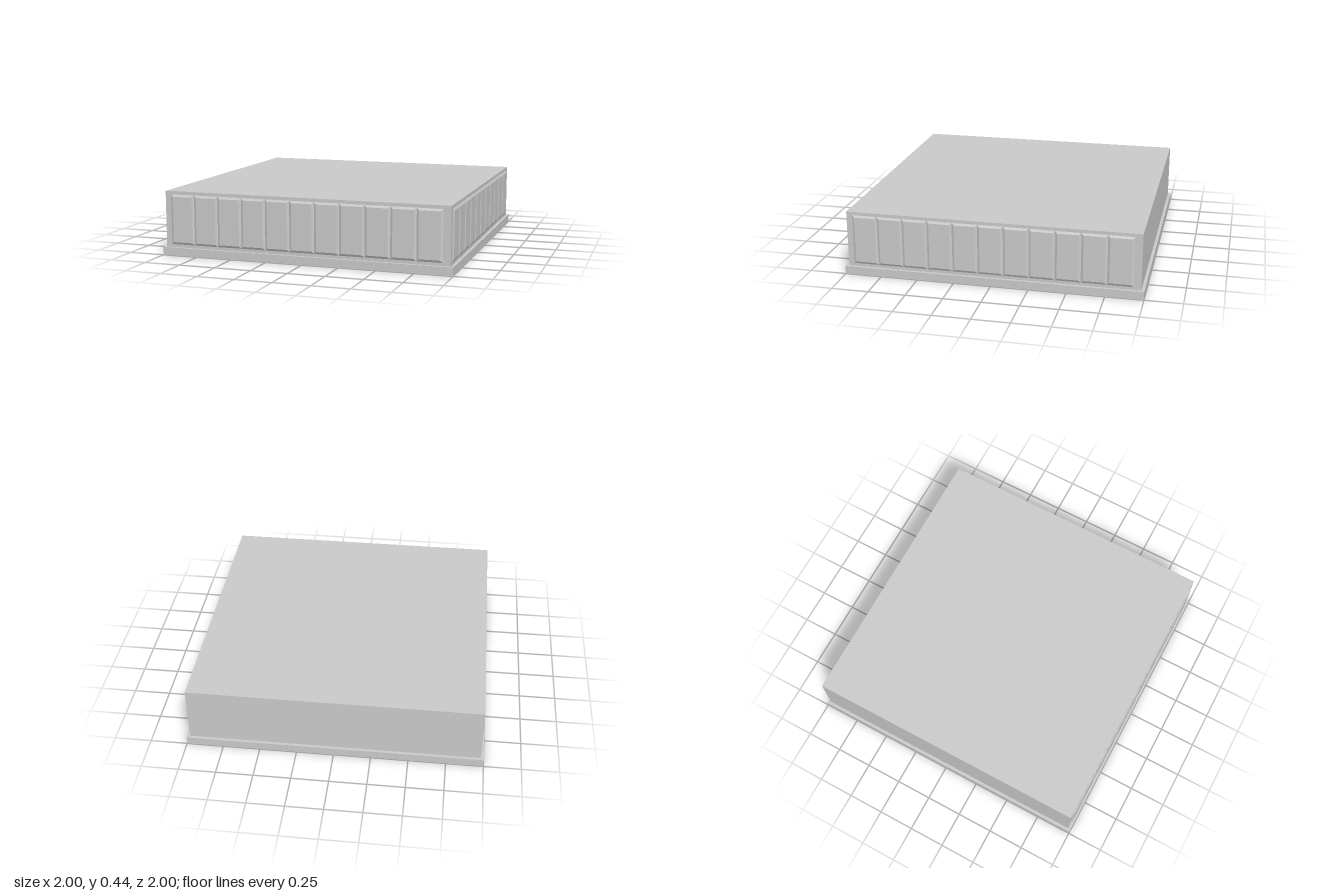
import * as THREE from 'three';

const material = new THREE.MeshStandardMaterial({ color: 0xcccccc, flatShading: true });

const COUNT = 11, PITCH = 0.17, PANEL_HEIGHT = 0.34, BEVEL = 0.015, RELIEF = 0.008;
const BASE_TOP = 0.055, BODY_TOP = 0.437, WALL = 0.98;

function block(name, width, bottom, top) {
  const mesh = new THREE.Mesh(new THREE.BoxGeometry(width, top - bottom, width), material);
  mesh.position.y = (bottom + top) / 2;
  mesh.name = name;
  return mesh;
}

// Raised panel: a thin box whose outer face is drawn in to form a bevel
function panelGeometry() {
  const geometry = new THREE.BoxGeometry(PITCH, PANEL_HEIGHT, RELIEF);
  geometry.translate(0, 0, RELIEF / 2);
  const p = geometry.attributes.position;
  for (let i = 0; i < p.count; i++) {
    if (p.getZ(i) > RELIEF / 2) {
      p.setX(i, p.getX(i) - Math.sign(p.getX(i)) * BEVEL);
      p.setY(i, p.getY(i) - Math.sign(p.getY(i)) * BEVEL);
    }
  }
  geometry.computeVertexNormals();
  return geometry;
}

// Row of panels along one wall
function panelRow(name, geometry) {
  const row = new THREE.Group();
  row.name = name;
  for (let i = 0; i < COUNT; i++) {
    const panel = new THREE.Mesh(geometry, material);
    panel.name = 'panel';
    panel.position.set((i - (COUNT - 1) / 2) * PITCH - 0.005, 0.245, WALL);
    row.add(panel);
  }
  return row;
}

export function createModel() {
  const model = new THREE.Group();
  model.name = 'panelledBlock';

  model.add(block('basePlinth', 2, 0, BASE_TOP));
  model.add(block('body', WALL * 2, BASE_TOP, BODY_TOP));

  // Panels on the front and the left (+x) walls only
  const geometry = panelGeometry();
  model.add(panelRow('frontPanels', geometry));
  const side = panelRow('sidePanels', geometry);
  side.rotation.y = Math.PI / 2;
  model.add(side);

  return model;
}
